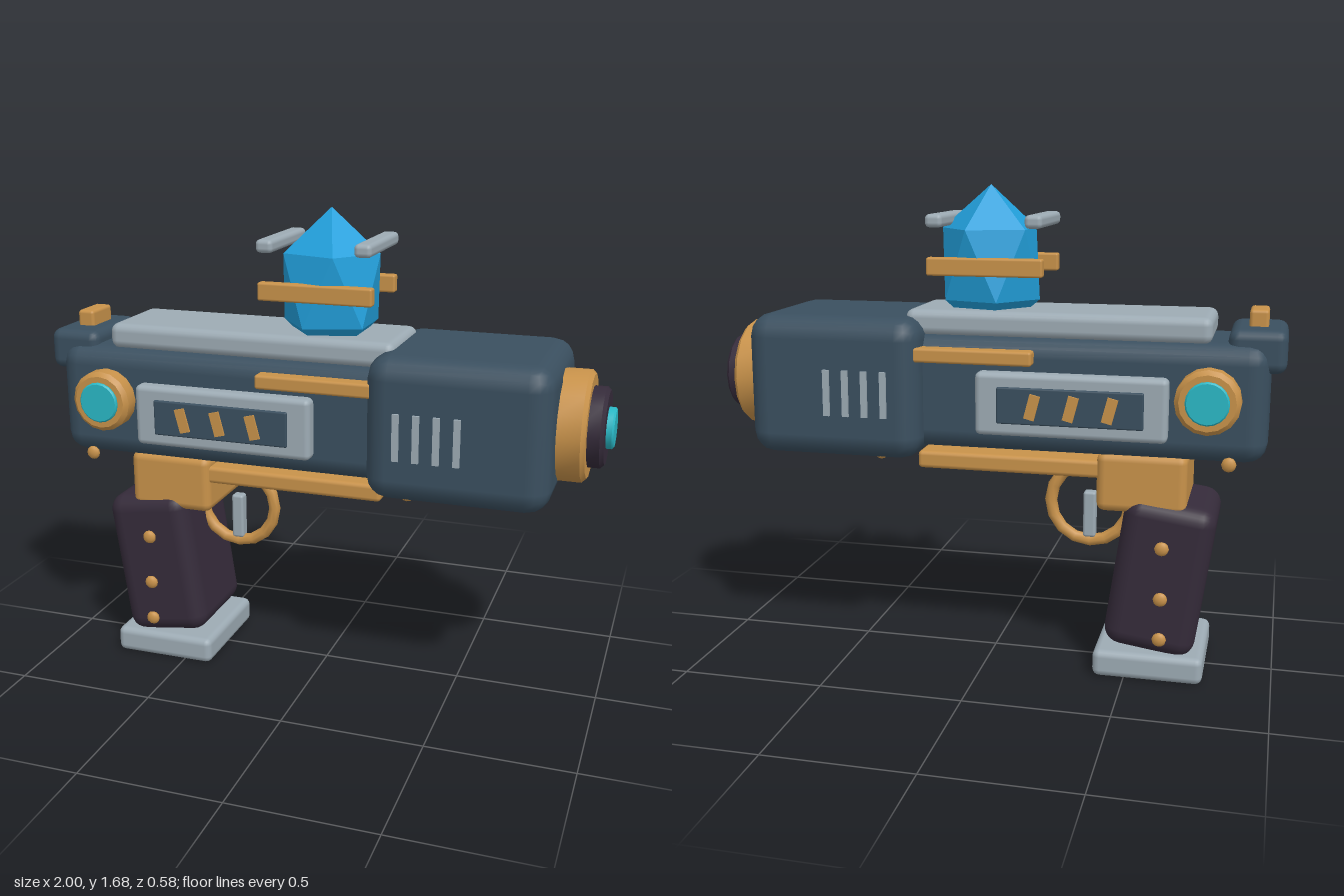
import * as THREE from 'three';
import { toCreasedNormals } from 'three/addons/utils/BufferGeometryUtils.js';
import { RoundedBoxGeometry } from 'three/addons/geometries/RoundedBoxGeometry.js';
import { ConvexGeometry } from 'three/addons/geometries/ConvexGeometry.js';

const material = (name, color) => {
  const m = new THREE.MeshStandardMaterial({ color });
  m.name = name;
  return m;
};

export function createModel() {
  const model = new THREE.Group();
  model.name = 'crystalBlaster';
  const slate = material('slate', 0x3a4f5f);
  const gold = material('gold', 0xc8924a);
  const silver = material('silver', 0x9dabb4);
  const plum = material('plum', 0x352b3a);
  const cyan = material('cyan', 0x2ab8c6);
  const blue = material('crystalBlue', 0x22a0dc);

  const add = (name, geometry, mat, x = 0, y = 0, z = 0) => {
    const mesh = new THREE.Mesh(geometry, mat);
    mesh.name = name;
    mesh.position.set(x, y, z);
    model.add(mesh);
    return mesh;
  };

  // Rounded box given by its lower and upper limits on each axis
  const box = (name, mat, [x0, x1], [y0, y1], [z0, z1], r) =>
    add(name, new RoundedBoxGeometry(x1 - x0, y1 - y0, z1 - z0, 2, r), mat,
      (x0 + x1) / 2, (y0 + y1) / 2, (z0 + z1) / 2);

  // Disc with bevelled rims along the y axis
  const disc = (r, h, sides, bevel) => toCreasedNormals(new THREE.LatheGeometry([
    [0, -h / 2], [r - bevel, -h / 2], [r, -h / 2 + bevel],
    [r, h / 2 - bevel], [r - bevel, h / 2], [0, h / 2],
  ].map(([x, y]) => new THREE.Vector2(x, y)), sides), 0.6);

  // Main body, barrel housing and top rail
  box('body', slate, [-0.95, 0.32], [0.78, 1.18], [-0.2, 0.2], 0.07);
  box('barrelHousing', slate, [0.21, 0.83], [0.745, 1.24], [-0.28, 0.28], 0.08);
  box('topRail', silver, [-0.76, 0.285], [1.17, 1.26], [-0.165, 0.165], 0.03);
  box('rearBlock', slate, [-1, -0.81], [1.08, 1.225], [-0.165, 0.165], 0.035);
  box('rearSight', gold, [-0.935, -0.872], [1.2, 1.28], [-0.07, 0.07], 0.012);

  // Muzzle: stacked discs facing +x
  [['muzzleRing', gold, 0.19, 0.8, 0.922, 0.014],
    ['muzzleCore', plum, 0.137, 0.9, 0.975, 0.012],
    ['muzzleLens', cyan, 0.07, 0.96, 1, 0.006]].forEach(([name, mat, r, x0, x1, bevel]) => {
    add(name, disc(r, x1 - x0, 16, bevel).rotateZ(-Math.PI / 2), mat, (x0 + x1) / 2, 0.995, 0);
  });

  // Details on both flanks
  for (const s of [1, -1]) {
    const side = (a, b) => (s > 0 ? [a, b] : [-b, -a]);
    add('dialRing', disc(0.108, 0.085, 16, 0.015).rotateX(Math.PI / 2), gold, -0.757, 0.998, s * 0.224);
    add('dialLens', disc(0.072, 0.03, 20, 0.005).rotateX(Math.PI / 2), cyan, -0.757, 0.998, s * 0.262);

    box('sidePanel', silver, [-0.63, 0.018], [0.85, 1.066], side(0.18, 0.246), 0.02);
    box('panelInset', slate, [-0.553, -0.06], [0.895, 1.02], side(0.23, 0.255), 0.006);
    for (const x of [-0.443, -0.313, -0.183]) {
      add('panelSlash', new THREE.BoxGeometry(0.036, 0.085, 0.02), gold, x, 0.957, s * 0.253).rotation.z = 0.25;
    }
    box('sideStrip', gold, [-0.177, 0.235], [1.09, 1.14], side(0.19, 0.25), 0.01);
    for (let i = 0; i < 4; i++) {
      add('vent', new THREE.BoxGeometry(0.022, 0.16, 0.025), silver, 0.327 + i * 0.068, 0.979, s * 0.277);
    }

    // Studs on the grip and under the body
    [[-0.62, 0.155, 0.2], [-0.62, 0.3, 0.2], [-0.62, 0.48, 0.2],
      [-0.83, 0.785, 0.2], [0.356, 0.768, 0.225]].forEach(([x, y, z]) => {
      add('stud', new THREE.IcosahedronGeometry(0.025, 1), gold, x, y, s * z).scale.z = 0.6;
    });

    // Bars that hold the crystal
    box('crystalClamp', gold, [-0.195, 0.207], [1.375, 1.437], side(0.122, 0.162), 0.008);
  }
  box('crystalRearBar', silver, [-0.195, -0.135], [1.537, 1.582], [-0.175, 0.175], 0.016);
  box('crystalFrontBar', silver, [0.147, 0.207], [1.537, 1.582], [-0.175, 0.175], 0.016);

  // Crystal: two staggered rings of five corners between two points
  const corners = [new THREE.Vector3(0, 0.27, 0), new THREE.Vector3(0, -0.27, 0)];
  for (let i = 0; i < 10; i++) {
    const a = (i * Math.PI) / 5;
    corners.push(new THREE.Vector3(Math.cos(a) * 0.173, i % 2 ? -0.121 : 0.121, Math.sin(a) * 0.163));
  }
  add('crystal', new ConvexGeometry(corners), blue, 0.017, 1.408, 0);

  // Underside, trigger and grip
  box('underRail', gold, [-0.5, 0.245], [0.7, 0.762], [-0.16, 0.16], 0.015);
  box('gripMount', gold, [-0.695, -0.388], [0.588, 0.795], [-0.175, 0.175], 0.03);
  add('triggerGuard', new THREE.TorusGeometry(0.142, 0.022, 8, 16), gold, -0.345, 0.572, 0);
  box('trigger', silver, [-0.367, -0.322], [0.445, 0.612], [-0.022, 0.022], 0.01);
  add('grip', new RoundedBoxGeometry(0.315, 0.54, 0.385, 3, 0.06), plum, -0.61, 0.362, 0).rotation.z = 0.14;
  box('gripBase', silver, [-0.77, -0.39], [0, 0.095], [-0.207, 0.207], 0.025);

  return model;
}
